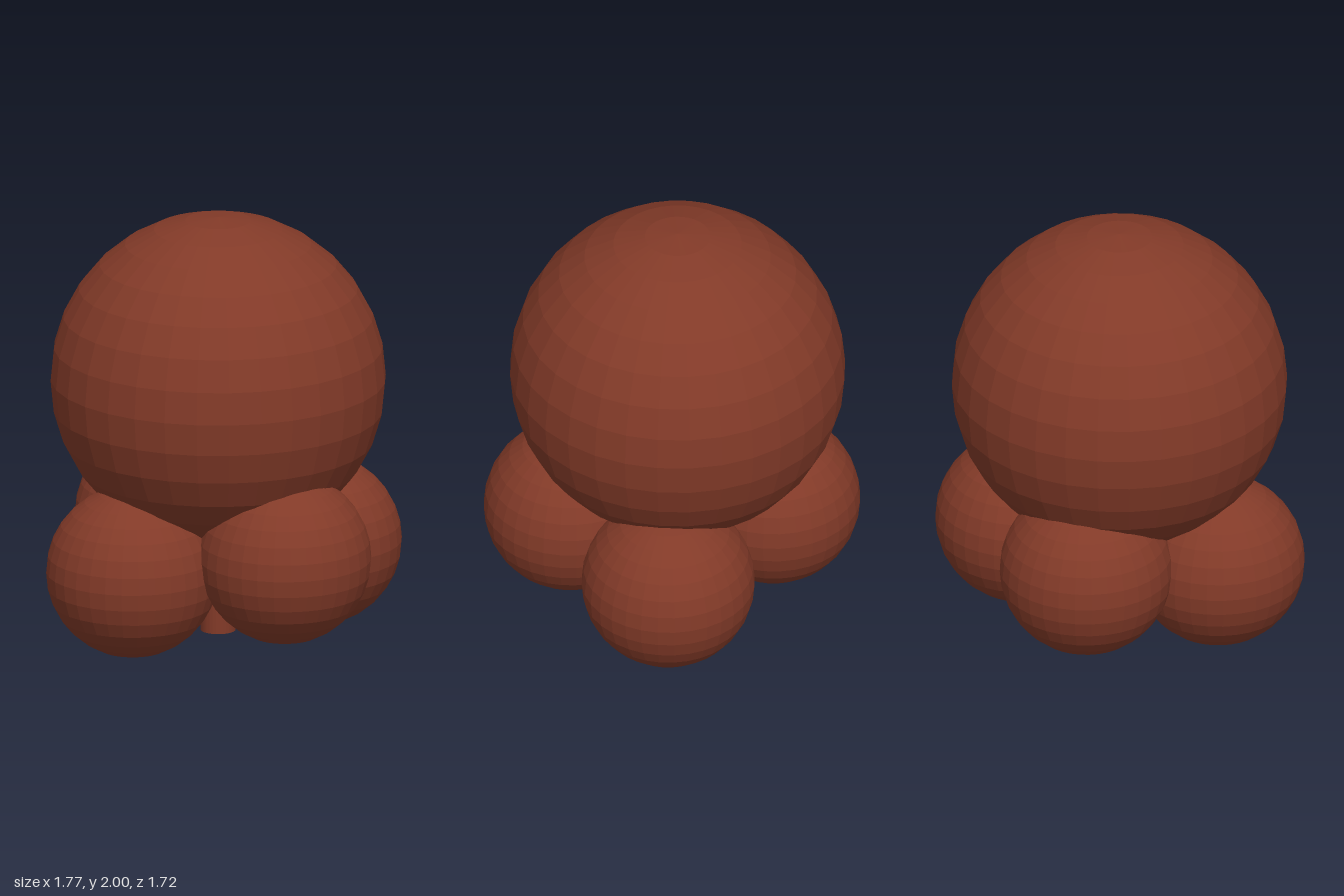
import * as THREE from 'three';

export function createModel() {
  const model = new THREE.Group();
  const brown = new THREE.MeshStandardMaterial({ color: 0x823a28, flatShading: true });
  brown.name = 'reddishBrown';

  const add = (name, geometry, x, y, z) => {
    const mesh = new THREE.Mesh(geometry, brown);
    mesh.name = name;
    mesh.position.set(x, y, z);
    model.add(mesh);
  };

  // Large upper ball
  add('mainBall', new THREE.SphereGeometry(0.765, 32, 16), -0.01, 1.235, -0.025);

  // Four smaller balls clustered beneath it
  const lobe = new THREE.SphereGeometry(0.395, 32, 16);
  add('leftLobe', lobe, 0.487, 0.4, 0.055);
  add('rightLobe', lobe, -0.49, 0.4, -0.04);
  add('frontLobe', lobe, -0.005, 0.495, 0.465);
  add('backLobe', lobe, 0, 0.485, -0.463);

  // Short stem hanging between the lobes, rooted in the main ball
  add('stem', new THREE.CylinderGeometry(0.08, 0.08, 0.7, 32), -0.01, 0.39, -0.025);

  return model;
}
